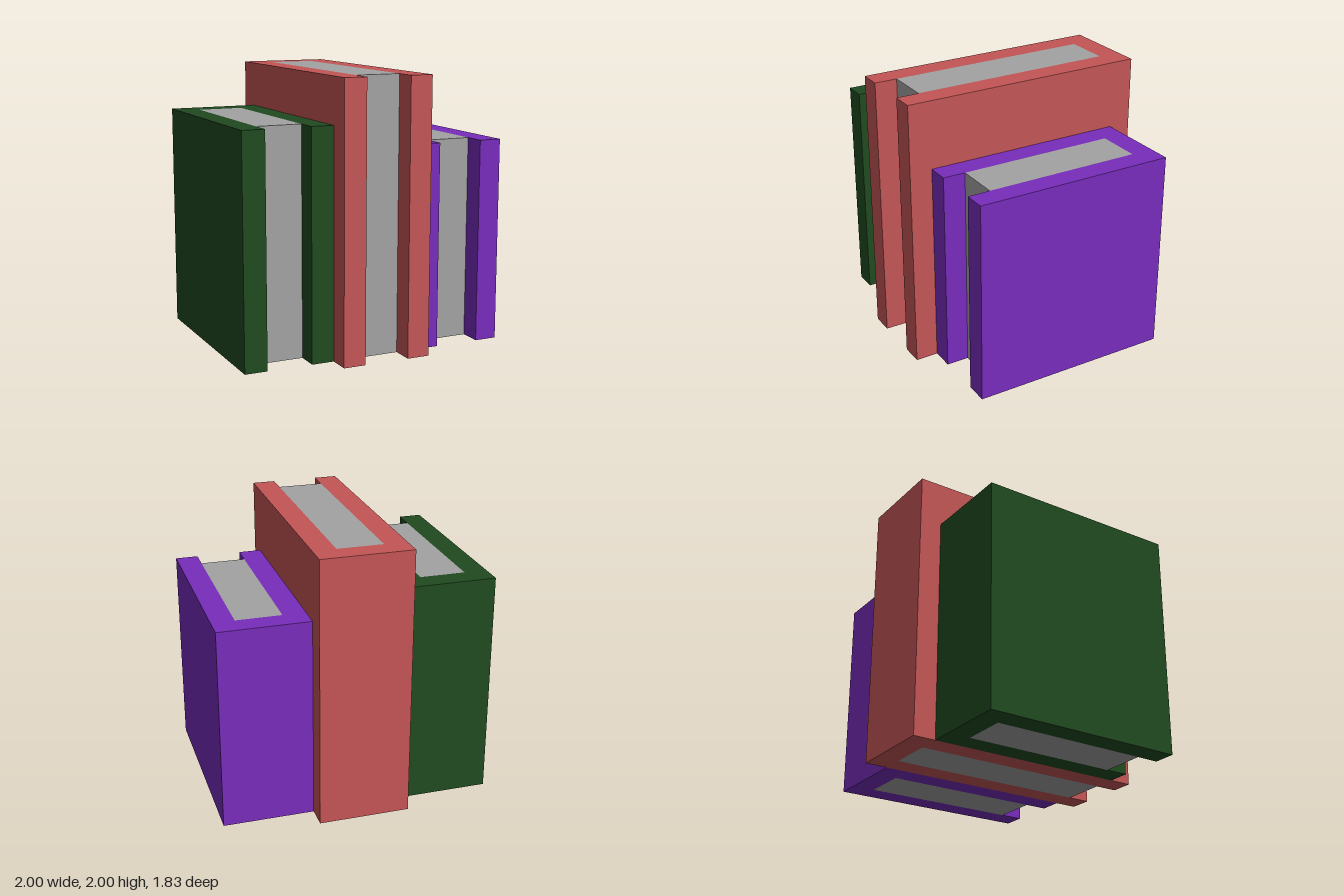
import * as THREE from 'three';

const U = 1 / 6; // thickness of a cover board
const WIDTH = 4 * U;

function material(name, color) {
  const m = new THREE.MeshStandardMaterial({ color });
  m.name = name;
  return m;
}

// U-shaped cover: spine at the back, two boards open to the front
function coverGeometry(height, depth) {
  const w = WIDTH / 2, d = depth / 2, i = w - U;
  const shape = new THREE.Shape([
    [-w, -d], [-i, -d], [-i, d - U], [i, d - U],
    [i, -d], [w, -d], [w, d], [-w, d],
  ].map(([x, y]) => new THREE.Vector2(x, y)));
  return new THREE.ExtrudeGeometry(shape, { depth: height, bevelEnabled: false })
    .rotateX(-Math.PI / 2);
}

function createBook(name, x, height, depth, coverMaterial, pageMaterial) {
  const book = new THREE.Group();
  book.name = name;
  book.position.x = x;

  const cover = new THREE.Mesh(coverGeometry(height, depth), coverMaterial);
  cover.name = 'cover';

  // Page block, flush with the cover at top and bottom, set back at the front
  const pages = new THREE.Mesh(
    new THREE.BoxGeometry(WIDTH - 2 * U, height, depth - 2 * U), pageMaterial);
  pages.name = 'pages';
  pages.position.y = height / 2;

  book.add(cover, pages);
  return book;
}

export function createModel() {
  const model = new THREE.Group();
  model.name = 'books';
  const paper = material('paper grey', 0xa2a2a2);
  model.add(
    createBook('greenBook', -WIDTH, 10 * U, 9 * U, material('dark green', 0x204a20), paper),
    createBook('redBook', 0, 12 * U, 11 * U, material('muted red', 0xc45556), paper),
    createBook('purpleBook', WIDTH, 9 * U, 9 * U, material('purple', 0x772cbb), paper),
  );
  return model;
}
